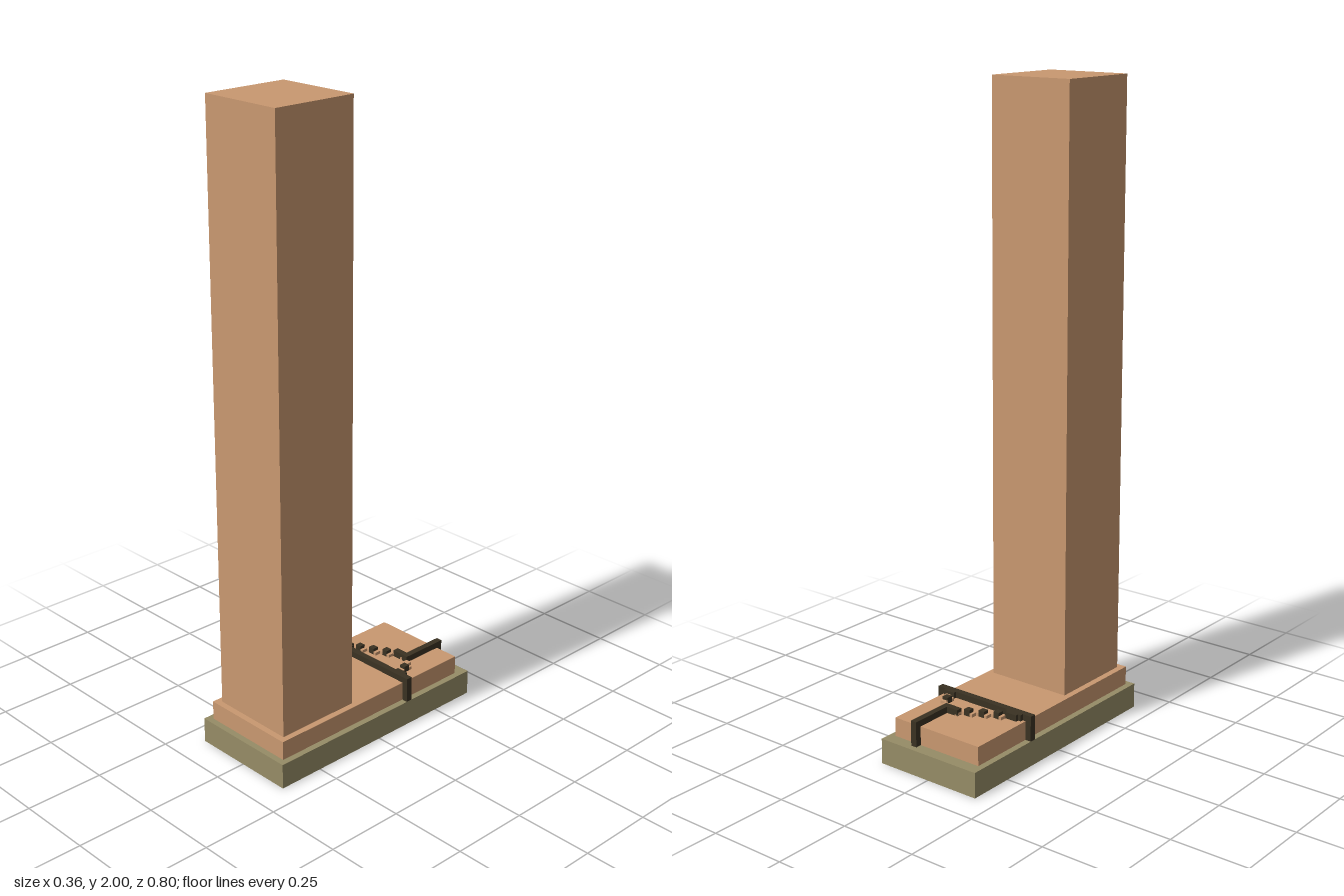
import * as THREE from 'three';

export function createModel() {
  const model = new THREE.Group();
  const clay = new THREE.MeshStandardMaterial({ color: 0xc99870 });
  clay.name = 'clay';
  const stone = new THREE.MeshStandardMaterial({ color: 0x968c66 });
  stone.name = 'olive stone';
  const iron = new THREE.MeshStandardMaterial({ color: 0x3a3222 });
  iron.name = 'dark iron';

  // Box given by its lower and upper limits on each axis
  function box(name, material, [x0, x1], [y0, y1], [z0, z1], parent = model) {
    const mesh = new THREE.Mesh(new THREE.BoxGeometry(x1 - x0, y1 - y0, z1 - z0), material);
    mesh.position.set((x0 + x1) / 2, (y0 + y1) / 2, (z0 + z1) / 2);
    mesh.name = name;
    parent.add(mesh);
  }

  // Plinth, slab and pillar
  box('plinth', stone, [-0.18, 0.18], [0, 0.08], [-0.4, 0.4]);
  box('slab', clay, [-0.16, 0.16], [0.08, 0.14], [-0.36, 0.38]);
  box('pillar', clay, [-0.14, 0.14], [0.14, 2], [0.08, 0.36]);

  // Cross strap wrapped over both sides of the slab
  const straps = new THREE.Group();
  straps.name = 'straps';
  model.add(straps);
  const top = [0.14, 0.16];
  box('crossStrap', iron, [-0.18, 0.18], top, [-0.14, -0.12], straps);
  for (const s of [-1, 1]) {
    const xs = [s * 0.16, s * 0.18].sort((a, b) => a - b);
    box('sideStrap', iron, xs, [0.08, 0.14], [-0.14, -0.12], straps);
  }

  // Rear strap running over the back edge
  box('rearStrap', iron, [0.06, 0.08], top, [-0.38, -0.22], straps);
  box('rearStrapEnd', iron, [0.06, 0.08], [0.08, 0.14], [-0.38, -0.36], straps);

  // Chains joining the straps
  const chain = new THREE.Group();
  chain.name = 'chain';
  model.add(chain);
  box('chainHead', iron, [0.02, 0.06], top, [-0.24, -0.22], chain);
  box('leftFoot', iron, [0.11, 0.15], top, [-0.15, -0.14], chain);
  box('rightFoot', iron, [-0.15, -0.09], top, [-0.15, -0.14], chain);
  box('rightFootStep', iron, [-0.14, -0.1], top, [-0.16, -0.15], chain);

  // Each long-chain link is a dark core between two pale ends
  for (let i = 0; i < 4; i++) {
    const x = -0.08 + i * 0.04;
    const z = [-0.18 - i * 0.02, -0.16 - i * 0.02];
    box('linkCore', iron, [x - 0.01, x + 0.01], top, z, chain);
    box('linkEnd', clay, [x - 0.02, x - 0.01], [0.14, 0.15], z, chain);
    box('linkEnd', clay, [x + 0.01, x + 0.02], [0.14, 0.15], z, chain);
  }

  // Short chain
  box('shortLinkCore', iron, [0.1, 0.12], top, [-0.19, -0.17], chain);
  for (const z of [-0.195, -0.165]) {
    box('shortLinkEnd', clay, [0.1, 0.12], [0.14, 0.15], [z - 0.005, z + 0.005], chain);
  }
  box('shortLink', clay, [0.08, 0.1], [0.14, 0.15], [-0.22, -0.2], chain);
  box('shortLink', clay, [0.12, 0.14], [0.14, 0.15], [-0.16, -0.15], chain);

  return model;
}
